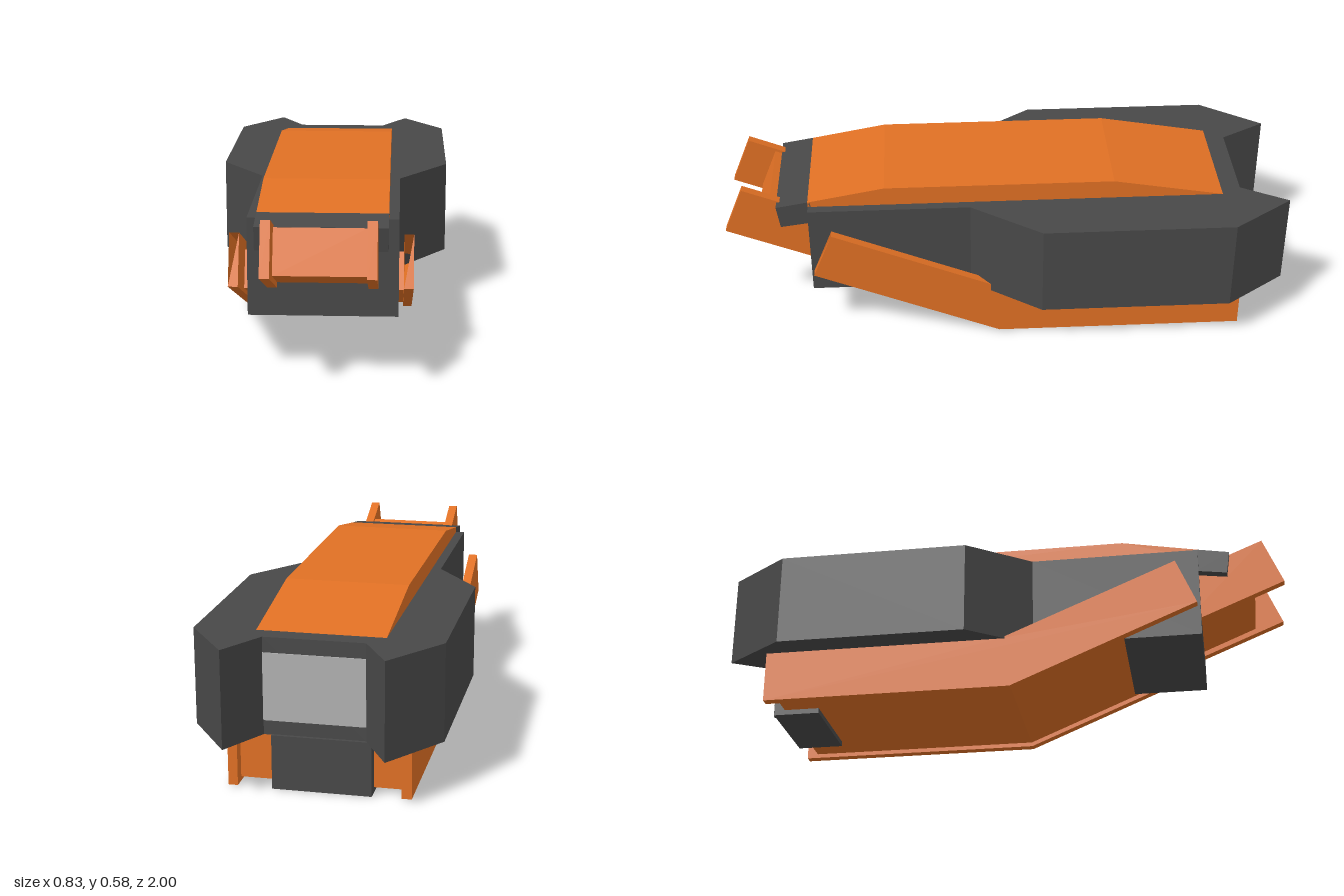
import * as THREE from 'three';

const orange = new THREE.MeshStandardMaterial({ color: 0xe07024, side: THREE.DoubleSide });
orange.name = 'orange armour';
const dark = new THREE.MeshStandardMaterial({ color: 0x484848 });
dark.name = 'dark grey hull';
const light = new THREE.MeshStandardMaterial({ color: 0xb0b0b0 });
light.name = 'light grey panel';

const shapeOf = (pts) => new THREE.Shape(pts.map(([a, b]) => new THREE.Vector2(a, b)));

// Side profile of [z, y] points, extruded from x0 to x1
function sideGeometry(pts, x0, x1) {
  const geo = new THREE.ExtrudeGeometry(shapeOf(pts), { depth: x1 - x0, bevelEnabled: false });
  return geo.rotateY(-Math.PI / 2).translate(x1, 0, 0);
}

// Removes the upper half of a skirt's front end, leaving one open triangle
function openFrontEnd(geo, x0, x1, [zLow, yLow], [zHigh, yHigh]) {
  const src = geo.getAttribute('position');
  const out = [];
  const tri = new THREE.Triangle();
  const normal = new THREE.Vector3();
  for (let i = 0; i < src.count; i += 3) {
    tri.setFromAttributeAndIndices(src, i, i + 1, i + 2);
    tri.getNormal(normal);
    if (normal.z > 0.7) continue;
    for (const v of [tri.a, tri.b, tri.c]) out.push(v.x, v.y, v.z);
  }
  out.push(x0, yLow, zLow, x1, yLow, zLow, x1, yHigh, zHigh);
  const result = new THREE.BufferGeometry();
  result.setAttribute('position', new THREE.Float32BufferAttribute(out, 3));
  result.computeVertexNormals();
  return result;
}

export function createModel() {
  const model = new THREE.Group();
  model.name = 'armouredCraft';
  const add = (name, geo, mat) => {
    const mesh = new THREE.Mesh(geo, mat);
    mesh.name = name;
    model.add(mesh);
  };

  // Hull: plan outline [x, z] with a notched tail
  const plan = [
    [-0.256, 0.7], [0.242, 0.7], [0.242, 0.13], [0.415, -0.115], [0.415, -0.785], [0.262, -1],
    [0.17, -0.838], [-0.17, -0.838], [-0.262, -1], [-0.415, -0.785], [-0.415, -0.115], [-0.256, 0.105],
  ];
  const hull = new THREE.ExtrudeGeometry(shapeOf(plan.map(([x, z]) => [x, -z])), { depth: 0.332, bevelEnabled: false });
  add('hull', hull.rotateX(-Math.PI / 2).translate(0, 0.185, 0), dark);

  // Light panel in the tail notch
  add('tailPanel', new THREE.BoxGeometry(0.34, 0.23, 0.006).translate(0, 0.35, -0.839), light);

  // Raised roof plate and the dark nose block that continues it
  add('roofPlate', sideGeometry(
    [[0.7, 0.5], [0.7, 0.536], [0.43, 0.585], [-0.38, 0.585], [-0.77, 0.517], [-0.77, 0.5]], -0.223, 0.208), orange);
  add('noseBlock', sideGeometry(
    [[0.69, 0.45], [0.8, 0.435], [0.812, 0.517], [0.7, 0.536], [0.69, 0.53]], -0.223, 0.208), dark);

  // Nose: two tilted fins with a shorter block between them
  const noseFin = [[0.62, 0.247], [1, 0.403], [0.93, 0.572], [0.62, 0.445]];
  add('noseFinRight', sideGeometry(noseFin, -0.19, -0.158), orange);
  add('noseFinLeft', sideGeometry(noseFin, 0.143, 0.175), orange);
  add('noseCore', sideGeometry([[0.65, 0.278], [0.895, 0.38], [0.836, 0.523], [0.65, 0.447]], -0.158, 0.143), orange);

  // Lower side skirts, bent upward at the front
  const low = [0.69, 0.278];
  const high = [0.62, 0.445];
  const skirt = [[-0.85, 0.003], [0.03, 0.003], low, high, [-0.006, 0.185], [-0.85, 0.185]];
  for (const [name, x0, x1] of [['skirtRight', -0.322, -0.289], ['skirtLeft', 0.259, 0.291]]) {
    add(name, openFrontEnd(sideGeometry(skirt, x0, x1), x0, x1, low, high), orange);
  }

  // Belly between the skirts
  add('belly', sideGeometry(
    [[-0.81, 0.018], [0.028, 0.018], [0.49, 0.211], [0.435, 0.333], [0.05, 0.186], [-0.81, 0.186]], -0.289, 0.259), orange);

  // Dark block under the tail
  add('tailBlock', new THREE.BoxGeometry(0.333, 0.187, 0.165).translate(-0.0235, 0.0935, -0.7665), dark);

  return model;
}
